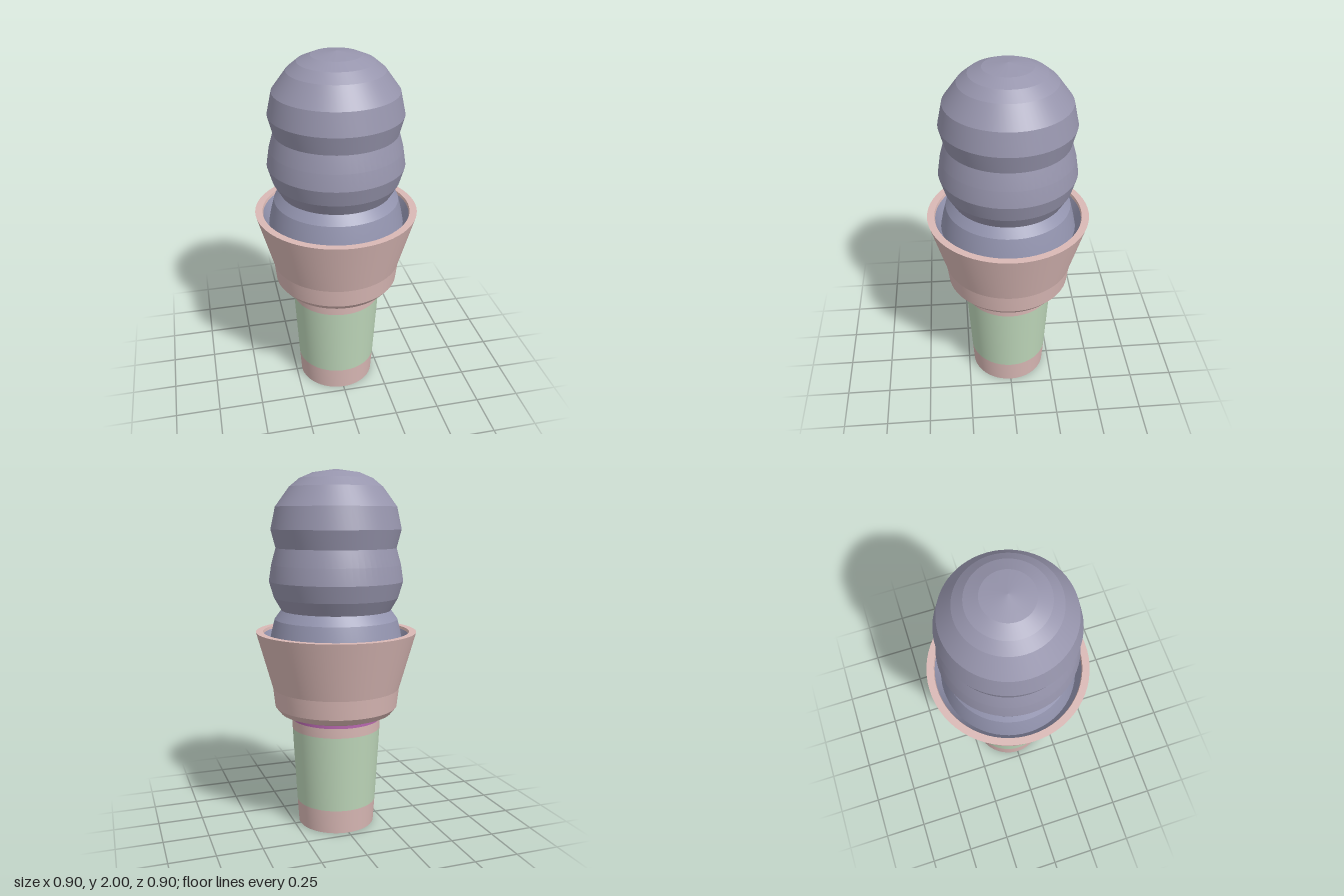
import * as THREE from 'three';
import { toCreasedNormals } from 'three/addons/utils/BufferGeometryUtils.js';

const material = (name, color) => {
  const m = new THREE.MeshStandardMaterial({ color, side: THREE.DoubleSide });
  m.name = name;
  return m;
};

export function createModel() {
  const group = new THREE.Group();
  const wafer = material('wafer pink', 0xd9b8b5);
  const wrapper = material('wrapper green', 0xbdd6b9);
  const band = material('band magenta', 0xb968b0);
  const cream = material('cream lavender', 0x9795ad);
  const filling = material('filling blue lavender', 0x9495b0);

  // Turned part: profile of [radius, height] listed from bottom to top
  const turned = (name, mat, profile) => {
    const points = profile.map(([r, y]) => new THREE.Vector2(r, y));
    const geometry = toCreasedNormals(new THREE.LatheGeometry(points, 64), 0.14);
    const mesh = new THREE.Mesh(geometry, mat);
    mesh.name = name;
    group.add(mesh);
  };

  // Tapered handle
  turned('handleBase', wafer, [[0, 0], [0.217, 0], [0.226, 0.135]]);
  turned('handleWrapper', wrapper, [[0.226, 0.135], [0.25, 0.565]]);
  turned('handleCollar', wafer, [[0.25, 0.565], [0.252, 0.62]]);
  turned('collarBand', band, [[0.252, 0.62], [0.253, 0.645], [0.28, 0.646]]);

  // Flared cup with a flat rim and a thick wall
  turned('cup', wafer, [
    [0.28, 0.646], [0.318, 0.66], [0.346, 0.695], [0.358, 0.8],
    [0.448, 1.12], [0.408, 1.12], [0.404, 1.105],
  ]);

  // Filling lining the cup, and the lowest swirl rising out of it
  turned('filling', filling, [[0.36, 1.0], [0.404, 1.105]]);
  turned('lowerSwirl', filling, [
    [0.36, 1.0], [0.374, 1.05], [0.36, 1.12], [0.342, 1.19], [0.305, 1.24],
  ]);

  // Upper swirls
  turned('upperSwirls', cream, [
    [0.305, 1.24], [0.345, 1.31], [0.371, 1.4], [0.357, 1.49], [0.332, 1.58],
    [0.358, 1.68], [0.332, 1.8], [0.255, 1.905], [0.2, 1.95], [0.13, 1.98], [0, 2],
  ]);

  return group;
}
